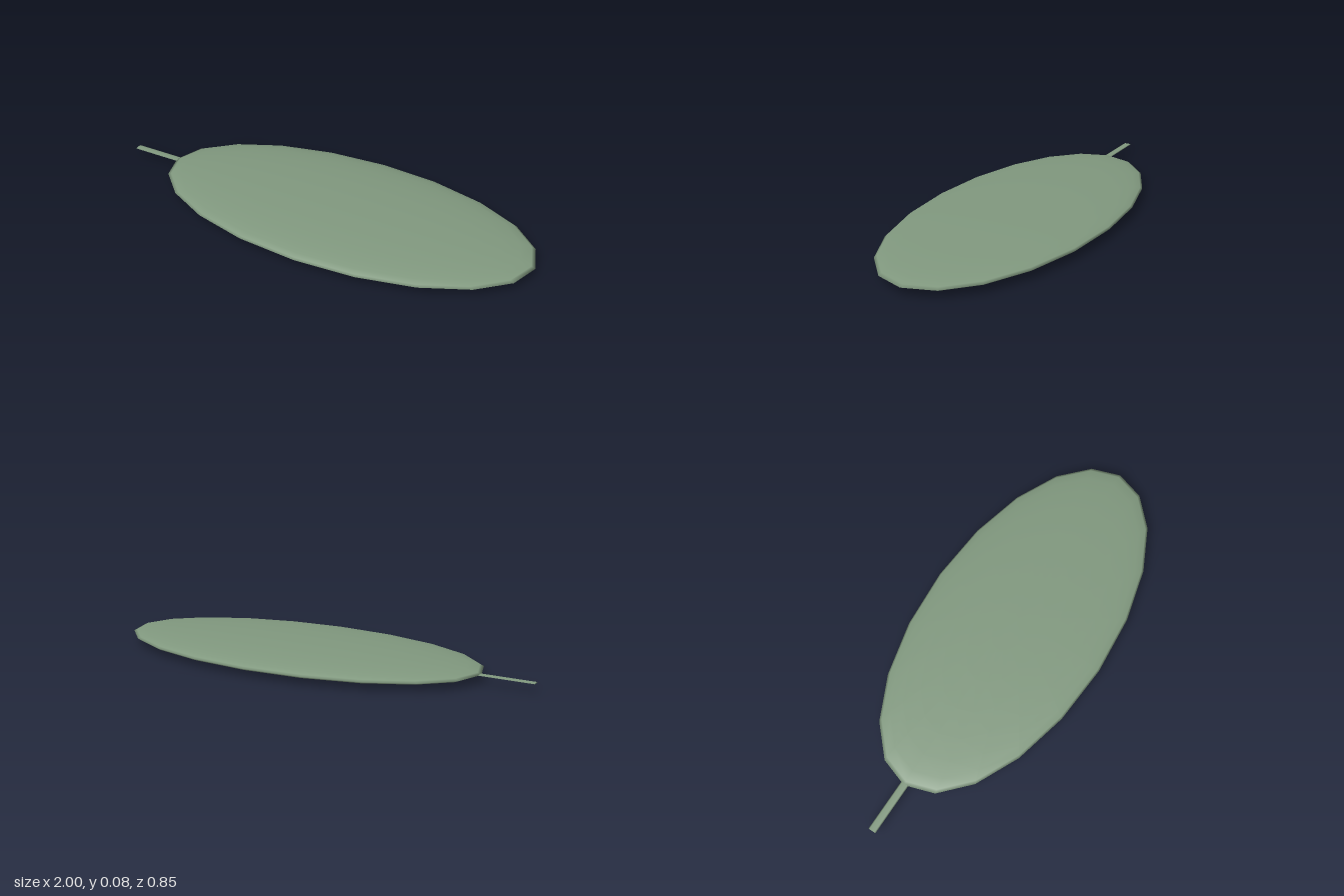
import * as THREE from 'three';

export function createModel() {
  const group = new THREE.Group();
  const material = new THREE.MeshStandardMaterial({ color: 0x829a80 });
  const midY = 0.039;

  // Leaf blade: a flattened ellipsoid with a 20-sided outline
  const blade = new THREE.Mesh(new THREE.SphereGeometry(1, 20, 16), material);
  blade.name = 'leafBlade';
  blade.scale.set(0.885, 0.039, 0.424);
  blade.position.set(0.115, midY, 0);
  group.add(blade);

  // Stem: a flattened rod whose inner end sinks into the blade
  const stemEnd = -0.7;
  const length = stemEnd + 1;
  const stemGeometry = new THREE.CylinderGeometry(0.018, 0.018, length, 8);
  stemGeometry.rotateZ(Math.PI / 2);
  stemGeometry.scale(1, 0.14, 1);
  const stem = new THREE.Mesh(stemGeometry, material);
  stem.name = 'stem';
  stem.position.set(-1 + length / 2, midY, 0);
  group.add(stem);

  return group;
}
